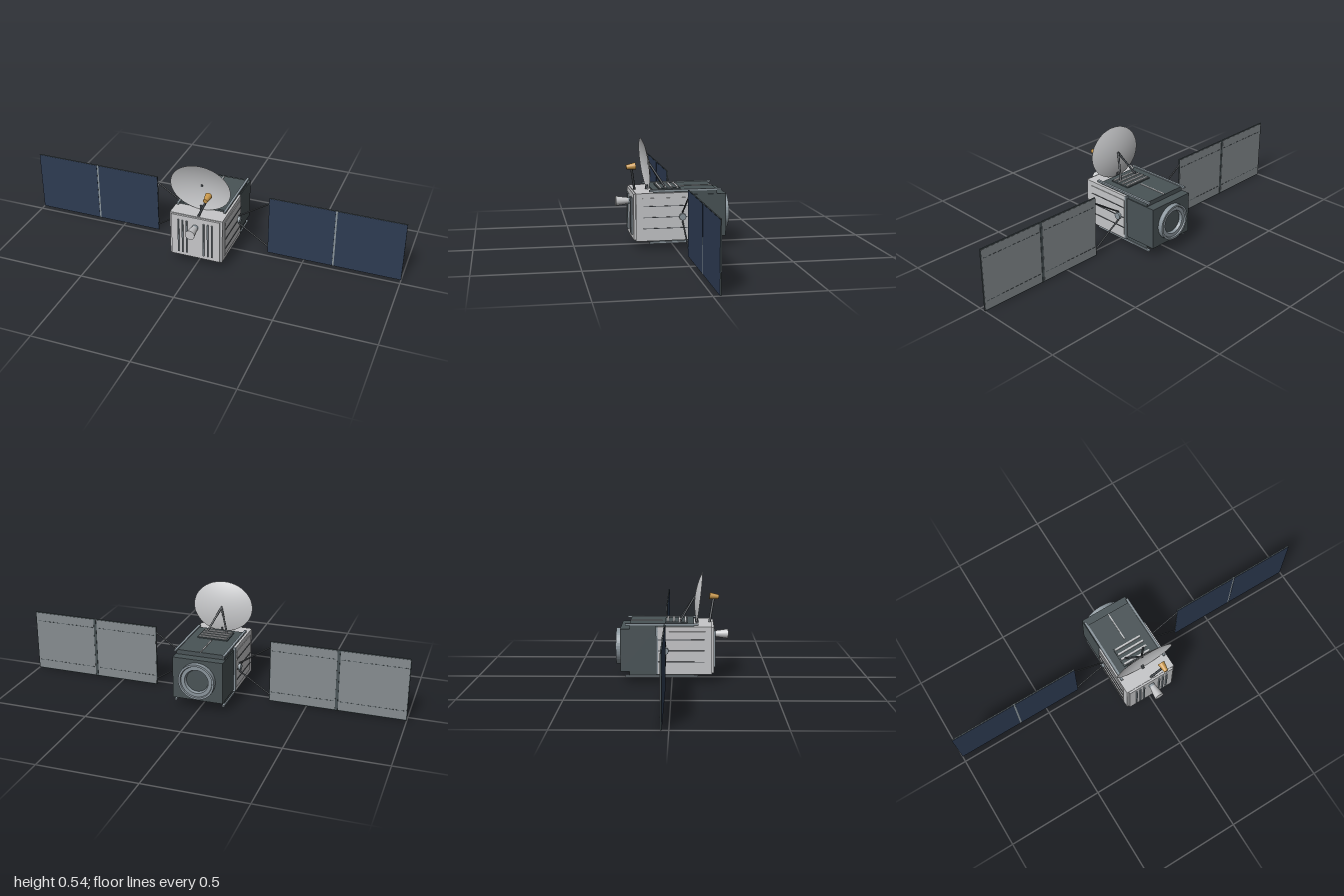
import * as THREE from 'three';

export function createModel() {
  const model = new THREE.Group();
  const mat = (name, color, side = THREE.FrontSide) => {
    const m = new THREE.MeshStandardMaterial({ color, side });
    m.name = name;
    return m;
  };
  const light = mat('light grey', 0xc6c7c9, THREE.DoubleSide);
  const slate = mat('slate grey', 0x8a959c, THREE.DoubleSide);
  const dark = mat('dark grey', 0x495356);
  const strut = mat('strut grey', 0x4a4f54);
  const navy = mat('solar navy', 0x2d3b52);
  const backGrey = mat('panel back grey', 0x868c90);
  const gold = mat('gold', 0xc8974a);

  const add = (name, geo, material, parent = model) => {
    const m = new THREE.Mesh(geo, material);
    m.name = name;
    parent.add(m);
    return m;
  };
  // Box given by its extents on each axis
  const box = (name, x0, x1, y0, y1, z0, z1, material, parent) => {
    const m = add(name, new THREE.BoxGeometry(x1 - x0, y1 - y0, z1 - z0), material, parent);
    m.position.set((x0 + x1) / 2, (y0 + y1) / 2, (z0 + z1) / 2);
    return m;
  };
  // Round bar between two points, with a radius for each end
  const bar = (name, a, b, ra, rb, material, sides = 8, parent = model) => {
    const p = new THREE.Vector3(...a), q = new THREE.Vector3(...b);
    const m = add(name, new THREE.CylinderGeometry(rb, ra, p.distanceTo(q), sides), material, parent);
    m.position.copy(p).lerp(q, 0.5);
    m.quaternion.setFromUnitVectors(new THREE.Vector3(0, 1, 0), q.sub(p).normalize());
    return m;
  };
  const CY = 0.163; // height of the body axis

  // Body sections
  box('mainBody', -0.139, 0.139, 0.043, 0.284, -0.07, 0.2, light);
  box('bodyCollar', -0.139, 0.139, 0.043, 0.284, -0.08, -0.07, slate);
  box('rearBody', -0.13, 0.13, 0.055, 0.271, -0.258, -0.08, dark);
  box('frontPlate', -0.128, 0.128, 0.048, 0.28, 0.2, 0.21, light);

  // Upright ribs on the front plate
  for (const s of [-1, 1])
    for (const x of [0.045, 0.067, 0.089])
      box('frontRib', s * x - 0.003, s * x + 0.003, 0.07, 0.256, 0.21, 0.218, slate);

  // Front horn
  bar('hornBase', [0, 0.226, 0.209], [0, 0.226, 0.222], 0.016, 0.016, slate, 24);
  bar('frontHorn', [0, 0.226, 0.215], [0, 0.226, 0.285], 0.015, 0.025, light, 24);

  // Docking ring and its recessed hatch
  const ringProfile = [[0.093, 0], [0.093, 0.025], [0.083, 0.025], [0.08, 0.018], [0.062, 0.018], [0.056, 0.003]]
    .map(([r, h]) => new THREE.Vector2(r, h));
  const ring = add('rearRing', new THREE.LatheGeometry(ringProfile, 40).toNonIndexed(), slate);
  ring.geometry.computeVertexNormals();
  ring.rotation.x = -Math.PI / 2;
  ring.position.set(0, CY, -0.258);
  bar('rearHatch', [0, CY, -0.256], [0, CY, -0.262], 0.058, 0.058, dark, 32);

  // Equipment decks, the same on top and underneath
  for (const s of [1, -1]) {
    const deck = new THREE.Group();
    deck.name = s > 0 ? 'topDeck' : 'bottomDeck';
    deck.position.y = CY;
    if (s < 0) deck.rotation.z = Math.PI;
    model.add(deck);
    box('deckPlate', -0.125, 0.125, 0.108, 0.131, -0.212, 0.11, dark, deck);
    for (const x of [-0.125, 0.125])
      box('deckRail', x - 0.006, x + 0.006, 0.127, 0.136, -0.233, 0.132, slate, deck);
    box('slatBase', -0.08, 0.08, 0.131, 0.136, -0.034, 0.078, dark, deck);
    for (let i = 0; i < 4; i++) {
      const z = -0.021 + i * 0.0295;
      box('deckSlat', -0.074, 0.074, 0.135, 0.141, z - 0.005, z + 0.005, light, deck);
    }
    box('deckLine', -0.003, 0.003, 0.13, 0.134, -0.21, -0.05, light, deck);
  }

  // Dish with an oval rim, leaning forward at the top
  const dishProfile = [];
  for (let i = 0; i <= 10; i++) {
    const t = i / 10;
    dishProfile.push(new THREE.Vector2(0.158 * t, 0.024 * t * t));
  }
  const dishGeo = new THREE.LatheGeometry(dishProfile, 48);
  dishGeo.rotateX(Math.PI / 2).scale(1, 0.826, 1).rotateX(0.116);
  dishGeo.computeVertexNormals();
  add('dish', dishGeo, light).position.set(0, 0.416, 0.115);
  bar('dishHub', [0, 0.416, 0.108], [0, 0.415, 0.12], 0.006, 0.006, strut);
  for (const s of [-1, 1])
    bar('dishStrut', [s * 0.055, 0.298, 0.04], [0, 0.416, 0.113], 0.005, 0.005, strut);
  bar('dishFoot', [0, 0.28, 0.126], [0, 0.305, 0.124], 0.008, 0.008, strut);

  // Feed horn on its slanted arm
  bar('feedArm', [0.008, 0.28, 0.189], [0.064, 0.403, 0.212], 0.006, 0.006, strut);
  bar('feedHorn', [0.064, 0.407, 0.238], [0.064, 0.412, 0.191], 0.011, 0.018, gold, 24);

  // Side panels, hinges, yokes and solar wings
  for (const s of [1, -1]) {
    const side = new THREE.Group();
    side.name = s > 0 ? 'leftSide' : 'rightSide';
    model.add(side);
    const sideBox = (name, x0, x1, ...rest) =>
      box(name, Math.min(s * x0, s * x1), Math.max(s * x0, s * x1), ...rest, side);

    sideBox('sidePanel', 0.138, 0.142, 0.066, 0.26, -0.07, 0.166, light);
    for (const y of [0.107, CY, 0.219])
      sideBox('sideStripe', 0.141, 0.145, y - 0.0015, y + 0.0015, -0.07, 0.163, strut);

    const z = -0.033;
    bar('hinge', [s * 0.135, CY, z], [s * 0.155, CY, z], 0.018, 0.018, slate, 8, side);
    for (const v of [-1, 1])
      bar('yokeArm', [s * 0.145, CY + v * 0.022, z], [s * 0.308, CY + v * 0.13, z], 0.004, 0.004, strut, 8, side);

    for (const [a, b] of [[0.305, 0.648], [0.656, 1]]) {
      sideBox('panelFrame', a, b, 0, 0.325, z - 0.003, z + 0.003, dark);
      sideBox('solarCells', a + 0.001, b - 0.001, 0.002, 0.323, z + 0.002, z + 0.004, navy);
      sideBox('panelBack', a + 0.004, b - 0.004, 0.005, 0.32, z - 0.004, z - 0.002, backGrey);
      // Dashed seams on the back
      for (const y of [0.05, 0.275])
        for (let i = 0; i < 12; i++) {
          const x = a + 0.01 + i * 0.0275;
          sideBox('backDash', x, x + 0.018, y - 0.0015, y + 0.0015, z - 0.005, z - 0.0035, dark);
        }
    }
    sideBox('wingJointFront', 0.648, 0.656, 0, 0.325, z, z + 0.003, slate);
    sideBox('wingJointBack', 0.647, 0.657, 0, 0.325, z - 0.005, z, dark);
  }
  return model;
}
